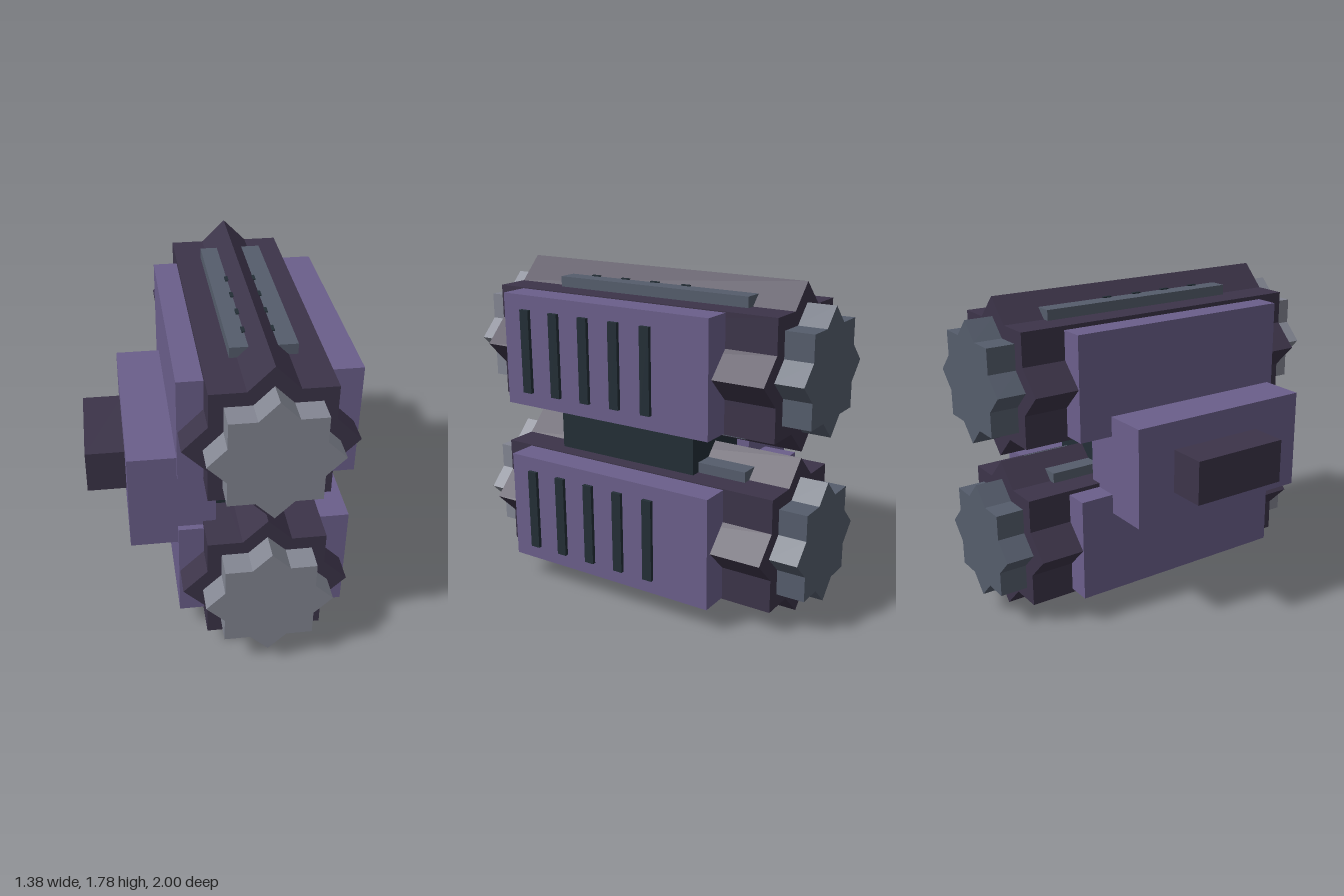
import * as THREE from 'three';

const mat = (name, color) => {
  const m = new THREE.MeshStandardMaterial({ color });
  m.name = name;
  return m;
};

export function createModel() {
  const purple = mat('purple', 0x6b5f8b);
  const darkPurple = mat('dark purple', 0x3c3449);
  const darkTeal = mat('dark teal', 0x232e36);
  const lightGrey = mat('light grey', 0x838692);
  const slateGrey = mat('slate grey', 0x555d6c);
  const CX = 0.206; // axis of both barrels

  const root = new THREE.Group();
  root.name = 'model';

  // box given by its extents on each axis
  const box = (parent, name, m, [x0, x1], [y0, y1], [z0, z1]) => {
    const mesh = new THREE.Mesh(new THREE.BoxGeometry(x1 - x0, y1 - y0, z1 - z0), m);
    mesh.position.set((x0 + x1) / 2, (y0 + y1) / 2, (z0 + z1) / 2);
    mesh.name = name;
    parent.add(mesh);
  };

  // eight-pointed prism: two crossed squares of the given half side
  const star = (parent, name, m, half, z0, z1) => {
    const pts = [];
    for (let i = 0; i < 16; i++) {
      const r = i % 2 ? half / Math.cos(Math.PI / 8) : half * Math.SQRT2;
      const a = (i * Math.PI) / 8;
      pts.push(new THREE.Vector2(r * Math.cos(a), r * Math.sin(a)));
    }
    const geo = new THREE.ExtrudeGeometry(new THREE.Shape(pts), { depth: z1 - z0, bevelEnabled: false });
    const mesh = new THREE.Mesh(geo, m);
    mesh.position.set(CX, 0, z0);
    mesh.name = name;
    parent.add(mesh);
  };

  // two stacked barrels
  for (const [name, cy] of [['lowerBarrel', 0.437], ['upperBarrel', 1.343]]) {
    const g = new THREE.Group();
    g.name = name;
    g.position.y = cy;
    star(g, 'barrelBody', darkPurple, 0.308, -0.845, 0.86);
    star(g, 'frontCap', lightGrey, 0.235, 0.85, 1);
    star(g, 'backCap', slateGrey, 0.235, -1, -0.835);

    // rails standing out above and below, with small studs beside the ridge
    box(g, 'rails', slateGrey, [0.04, 0.38], [-0.364, 0.364], [-0.615, 0.545]);
    for (const z of [-0.195, -0.003, 0.187, 0.38])
      box(g, 'railStud', darkTeal, [0.122, 0.288], [-0.37, 0.37], [z - 0.026, z + 0.026]);

    // side plates
    box(g, 'leftPlate', purple, [0.45, 0.67], [-0.303, 0.303], [-0.565, 0.703]);
    box(g, 'rightPlate', purple, [-0.235, -0.05], [-0.286, 0.286], [-0.6, 0.7]);

    // row of vents
    for (let i = 0; i < 5; i++) {
      const z = -0.21 + i * 0.191;
      box(g, 'vent', darkTeal, [0.65, 0.69], [-0.225, 0.226], [z - 0.028, z + 0.028]);
    }
    root.add(g);
  }

  // parts joining the barrels
  box(root, 'core', darkTeal, [-0.05, 0.432], [0.7, 1.08], [-0.335, 0.53]);
  box(root, 'mountBlock', purple, [-0.485, -0.035], [0.615, 1.167], [-0.41, 0.667]);
  box(root, 'mountPeg', darkPurple, [-0.695, -0.47], [0.77, 1.012], [-0.185, 0.37]);

  return root;
}
